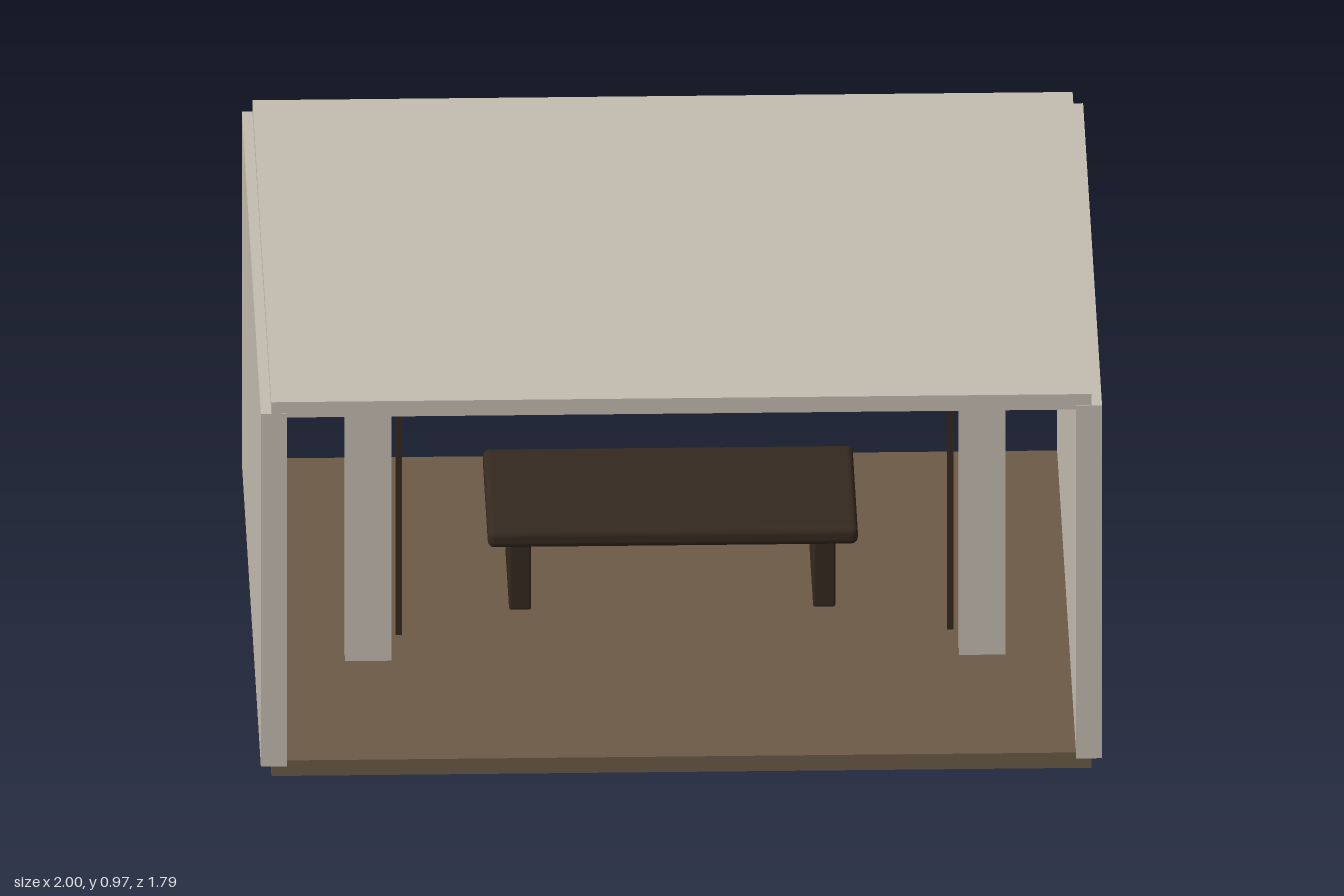
import * as THREE from 'three';
import { RoundedBoxGeometry } from 'three/addons/geometries/RoundedBoxGeometry.js';

const paint = (name, color) => {
  const m = new THREE.MeshStandardMaterial({ color });
  m.name = name;
  return m;
};

export function createModel() {
  const room = new THREE.Group();
  room.name = 'room';
  const plaster = paint('plaster', 0xc4bcb0);
  const floorWood = paint('floor wood', 0x6b5a46);
  const darkWood = paint('dark wood', 0x35291f);
  const blue = paint('slate blue', 0x4a636d);

  // Box given by its limits on each axis, with optional rounded edges
  const block = (name, material, [x0, x1], [y0, y1], [z0, z1], radius = 0) => {
    const size = [x1 - x0, y1 - y0, z1 - z0];
    const geometry = radius
      ? new RoundedBoxGeometry(...size, 3, radius)
      : new THREE.BoxGeometry(...size);
    const mesh = new THREE.Mesh(geometry, material);
    mesh.name = name;
    mesh.position.set((x0 + x1) / 2, (y0 + y1) / 2, (z0 + z1) / 2);
    room.add(mesh);
  };

  // The same block on both sides of the room
  const pair = (name, material, [x0, x1], y, z, radius) => {
    block(name + 'Left', material, [x0, x1], y, z, radius);
    block(name + 'Right', material, [-x1, -x0], y, z, radius);
  };

  // Shell, open at the front and back
  block('floor', floorWood, [-0.975, 0.975], [0, 0.04], [-0.894, 0.894]);
  block('ceiling', plaster, [-0.975, 0.975], [0.93, 0.97], [-0.894, 0.894]);
  pair('wall', plaster, [0.938, 1], [0.025, 0.94], [-0.895, 0.895]);

  // Doorway frame across the room, with a dark strip inside each post
  pair('doorPost', plaster, [0.675, 0.785], [0.04, 0.925], [0.25, 0.31]);
  block('lintel', plaster, [-0.785, 0.785], [0.82, 0.925], [0.25, 0.31]);
  pair('doorStrip', darkWood, [0.648, 0.663], [0.08, 0.83], [0.22, 0.25]);

  // Low table on two slab legs
  block('tableTop', darkWood, [-0.44, 0.44], [0.23, 0.275], [-0.41, 0.09], 0.016);
  pair('tableLeg', darkWood, [0.335, 0.388], [0.04, 0.235], [-0.34, 0.02], 0.006);

  // Panel hanging in the back opening
  block('backPanel', blue, [-0.56, 0.56], [0.42, 0.85], [-0.86, -0.835]);

  return room;
}
